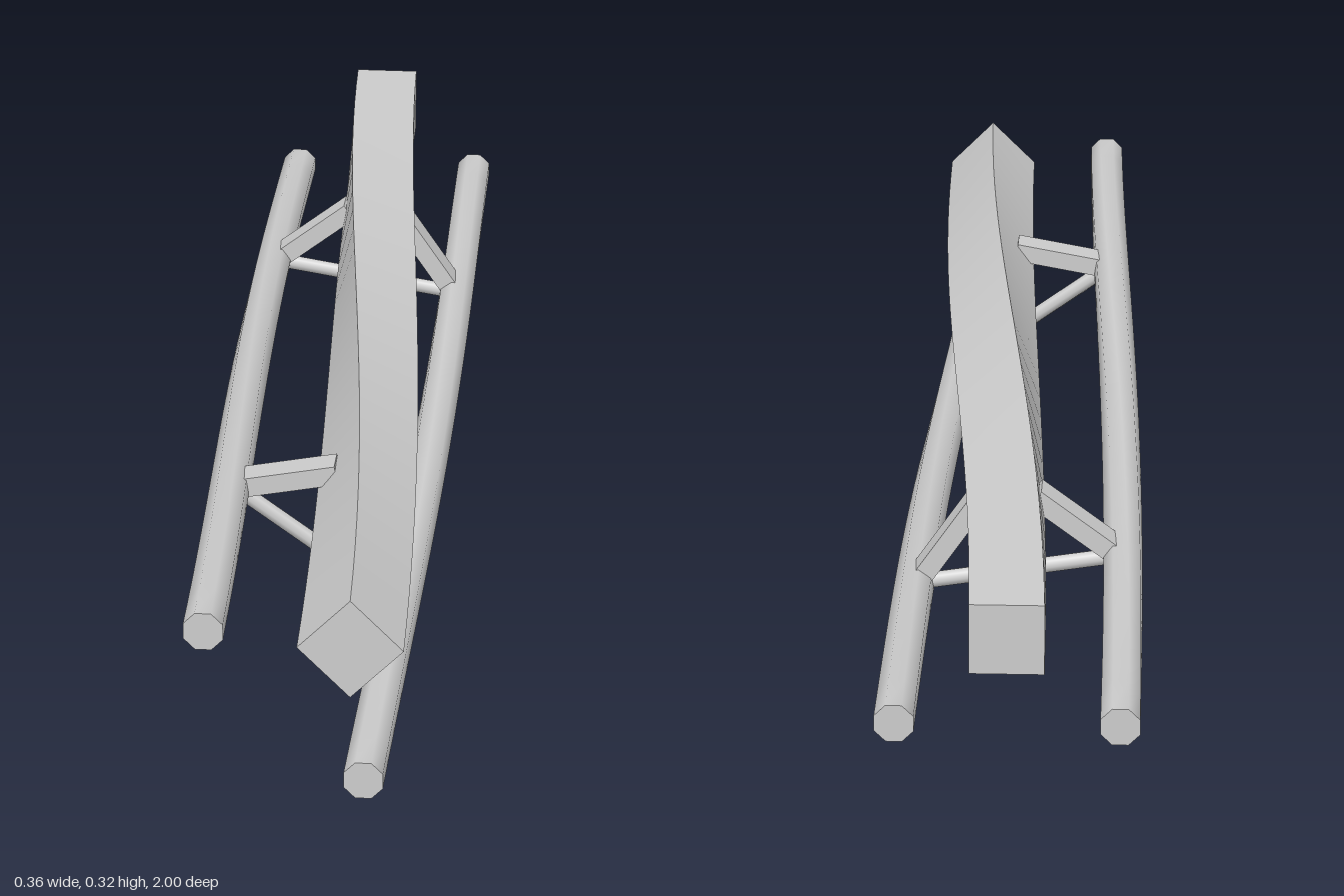
import * as THREE from 'three';
import { toCreasedNormals } from 'three/addons/utils/BufferGeometryUtils.js';

const AXIS = { x: -0.002, y: 0.114 };   // line the whole track twists around
const RAIL = { x: 0.15, y: 0.027 };     // rail centre, relative to the axis
const SPINE_Y = 0.152;                  // spine centre above the axis
const SEGMENTS = 24;

// Twist at depth z: none at the back, an eighth turn at the front, eased at both ends
function twistAt(z) {
  const t = THREE.MathUtils.clamp((z + 1) / 2, 0, 1);
  const eased = 0.5 * t + 0.5 * t * t * (3 - 2 * t);
  return -Math.PI / 4 * eased;
}

// Turn every vertex around the axis by the twist at its depth
function twist(geometry, crease) {
  const p = geometry.attributes.position;
  for (let i = 0; i < p.count; i++) {
    const x = p.getX(i), y = p.getY(i), a = twistAt(p.getZ(i));
    p.setXY(i,
      AXIS.x + x * Math.cos(a) - y * Math.sin(a),
      AXIS.y + x * Math.sin(a) + y * Math.cos(a));
  }
  return toCreasedNormals(geometry, crease);
}

export function createModel() {
  const track = new THREE.Group();
  track.name = 'twistedTrack';
  const material = new THREE.MeshStandardMaterial({ color: 0xcccccc });

  const add = (parent, name, geometry) => {
    const mesh = new THREE.Mesh(geometry, material);
    mesh.name = name;
    parent.add(mesh);
    return mesh;
  };

  // Square spine beam
  const spine = new THREE.BoxGeometry(0.1, 0.1, 2, 1, 1, SEGMENTS).translate(0, SPINE_Y, 0);
  add(track, 'spine', twist(spine, 0.5));

  // Eight-sided running rails
  for (const side of [-1, 1]) {
    const rail = new THREE.CylinderGeometry(0.0285, 0.0285, 2, 8, SEGMENTS)
      .rotateY(Math.PI / 8)
      .rotateX(Math.PI / 2)
      .translate(side * RAIL.x, RAIL.y, 0);
    add(track, side > 0 ? 'leftRail' : 'rightRail', twist(rail, 0.9));
  }

  // Cross frames: a round tie between the rails and two struts up to the spine
  for (const z of [-0.5, 0.5]) {
    const frame = new THREE.Group();
    frame.name = z > 0 ? 'frontCrossFrame' : 'backCrossFrame';
    frame.position.set(AXIS.x, AXIS.y, z);
    frame.rotation.z = twistAt(z);
    track.add(frame);

    const tie = new THREE.CylinderGeometry(0.012, 0.012, RAIL.x * 2, 8).rotateZ(Math.PI / 2);
    add(frame, 'tie', tie).position.y = RAIL.y;

    for (const side of [-1, 1]) {
      const foot = new THREE.Vector2(side * 0.142, 0.035);
      const head = new THREE.Vector2(side * 0.043, 0.139);
      const along = head.clone().sub(foot);
      const strut = add(frame, side > 0 ? 'leftStrut' : 'rightStrut',
        new THREE.BoxGeometry(along.length(), 0.028, 0.046));
      strut.position.set((foot.x + head.x) / 2, (foot.y + head.y) / 2, 0);
      strut.rotation.z = along.angle();
    }
  }
  return track;
}
